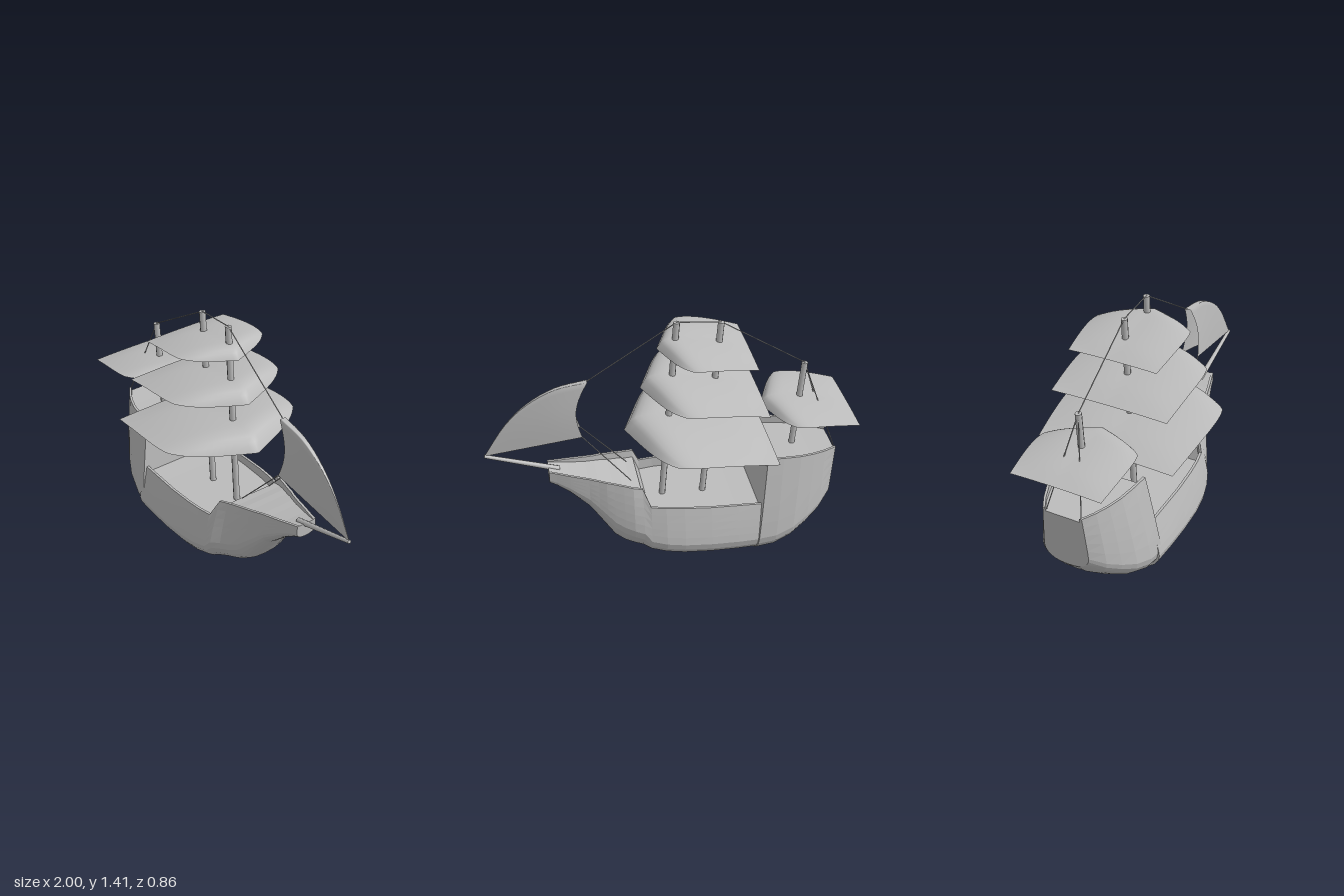
import * as THREE from 'three';

const ZC = -0.018; // the masts stand slightly off the centre line
const lerp = THREE.MathUtils.lerp;
const V = (x, y, z) => new THREE.Vector3(x, y, z);

// Closed hull cross-section: outer skin from rail to rail, then rails and deck.
function hullRing([xb, xt, yb, yt, wm, wr, yd, dz], fm) {
  const half = [];
  const h = yt - yb;
  for (let i = 1; i <= 6; i++) {
    const a = (i / 6) * Math.PI / 2;
    half.push([wm * Math.sin(a) ** 0.8, yb + fm * h * (1 - Math.cos(a))]);
  }
  for (let i = 1; i <= 5; i++) {
    const u = i / 5;
    half.push([wm + (wr - wm) * u ** 1.15, yb + h * lerp(fm, 1, u)]);
  }
  const t = 0.014;
  const loop = [
    ...half.slice().reverse().map(([w, y]) => [-w, y]), [0, yb], ...half,
    [wr - t, yt], [wr - t, yd], [t - wr, yd], [t - wr, yt],
  ];
  return loop.map(([z, y]) => V(lerp(xb, xt, (y - yb) / h), y, z + dz));
}

// Skin a row of cross-sections with flat facets and close both ends.
function loft(stations, fm) {
  const rings = stations.map((s) => hullRing(s, fm));
  const n = rings[0].length;
  const pos = [];
  const tri = (...p) => p.forEach((v) => pos.push(v.x, v.y, v.z));
  for (let i = 0; i < rings.length - 1; i++) {
    for (let j = 0; j < n; j++) {
      const k = (j + 1) % n;
      const a = rings[i][j], b = rings[i + 1][j], c = rings[i + 1][k], d = rings[i][k];
      tri(a, b, c);
      tri(a, c, d);
    }
  }
  const cap = (ring, flip) => {
    const flat = ring.map((p) => new THREE.Vector2(p.z, p.y));
    for (const [a, b, c] of THREE.ShapeUtils.triangulateShape(flat, [])) {
      if (flip) tri(ring[a], ring[c], ring[b]);
      else tri(ring[a], ring[b], ring[c]);
    }
  };
  cap(rings[0], false);
  cap(rings[rings.length - 1], true);
  const g = new THREE.BufferGeometry();
  g.setAttribute('position', new THREE.Float32BufferAttribute(pos, 3));
  g.computeVertexNormals();
  return g;
}

// Bend a plane grid by a rule; u and v run from 0 to 1.
function sheet(nu, nv, rule) {
  const g = new THREE.PlaneGeometry(1, 1, nu, nv);
  const p = g.attributes.position;
  for (let i = 0; i < p.count; i++) {
    const q = rule(p.getX(i) + 0.5, p.getY(i) + 0.5);
    p.setXYZ(i, q.x, q.y, q.z);
  }
  g.computeVertexNormals();
  return g;
}

// Billowed sail: straight rear edge, arched crest, pointed drooping front lip.
function sailGeometry(xBack, xFront, y0, rise, wBack, wMax) {
  const L = xFront - xBack;
  const crest = new THREE.SplineCurve([
    [0, 0.06], [0.2, 0.43], [0.45, 0.73], [0.7, 0.95], [0.85, 1], [0.95, 0.82], [1, 0.4],
  ].map(([x, y]) => new THREE.Vector2(x, y)));
  const line = crest.getPoints(120);
  const crestY = (u) => {
    const i = Math.max(1, line.findIndex((q) => q.x >= u - 1e-6));
    const a = line[i - 1], b = line[i];
    return lerp(a.y, b.y, THREE.MathUtils.clamp((u - a.x) / (b.x - a.x), 0, 1));
  };
  return sheet(24, 24, (u, t) => {
    const v = t * 2 - 1, a = Math.abs(v);
    const front = xFront - L * (0.23 * a + 0.07 * a ** 6);
    const w = lerp(wBack, wMax, Math.sin(u * Math.PI / 2)) * (1 - 0.05 * u ** 8);
    const edge = 0.55 * Math.sin(u * Math.PI / 2);
    const y = y0 + rise * lerp(crestY(u), edge, a ** 2.2) + 0.016 * v * u;
    return V(lerp(xBack, front, u), y, -0.009 + v * w);
  });
}

// Straight spar or rope between two points.
function rod(a, b, r0, r1, sides) {
  const d = b.clone().sub(a);
  const g = new THREE.CylinderGeometry(r1, r0, d.length(), sides);
  g.applyQuaternion(new THREE.Quaternion().setFromUnitVectors(V(0, 1, 0), d.normalize()));
  g.translate((a.x + b.x) / 2, (a.y + b.y) / 2, (a.z + b.z) / 2);
  return g;
}

export function createModel() {
  const model = new THREE.Group();
  const grey = new THREE.MeshStandardMaterial({ color: 0xbcbcbc, side: THREE.DoubleSide });
  grey.name = 'plain grey';
  const add = (name, geometry) => {
    const m = new THREE.Mesh(geometry, grey);
    m.name = name;
    model.add(m);
  };

  // Main hull: x, keel y, rail y, widest half, rail half, deck y
  add('hull', loft([
    [-0.5, 0.005, 0.355, 0.298, 0.25, 0.32],
    [-0.35, 0.005, 0.365, 0.305, 0.255, 0.32],
    [-0.2, 0.01, 0.375, 0.308, 0.26, 0.325],
    [-0.05, 0.02, 0.388, 0.305, 0.258, 0.33],
    [0.05, 0.035, 0.395, 0.295, 0.25, 0.333],
    [0.13, 0.055, 0.4, 0.275, 0.235, 0.335],
    [0.17, 0.07, 0.5, 0.26, 0.195, 0.455],
    [0.22, 0.085, 0.51, 0.237, 0.185, 0.465],
    [0.27, 0.1, 0.52, 0.213, 0.17, 0.48],
    [0.32, 0.135, 0.528, 0.188, 0.155, 0.49],
    [0.36, 0.195, 0.535, 0.166, 0.145, 0.5],
    [0.4, 0.255, 0.541, 0.145, 0.13, 0.51],
    [0.45, 0.33, 0.55, 0.122, 0.115, 0.52],
    [0.55, 0.43, 0.566, 0.092, 0.09, 0.545],
    [0.62, 0.48, 0.578, 0.07, 0.07, 0.568],
    [0.66, 0.5, 0.585, 0.06, 0.06, 0.582],
  ].map(([x, ...rest]) => [x, x, ...rest, x > 0.2 ? -0.007 : 0]), 0.4));

  // Raised stern castle: x at keel, x at rail, then as above, sideways offset
  add('sternCastle', loft([
    [-0.89, -0.92, 0.26, 0.61, 0.13, 0.112, 0.588, -0.027],
    [-0.82, -0.85, 0.18, 0.616, 0.19, 0.152, 0.588, -0.024],
    [-0.74, -0.78, 0.115, 0.622, 0.233, 0.182, 0.588, -0.021],
    [-0.65, -0.7, 0.055, 0.63, 0.272, 0.207, 0.59, -0.018],
    [-0.55, -0.6, 0.012, 0.638, 0.296, 0.222, 0.59, -0.014],
    [-0.45, -0.51, 0, 0.645, 0.304, 0.23, 0.59, -0.01],
  ], 0.25));

  // Masts and bowsprit
  const foreTop = V(-0.045, 1.41, ZC), mainTop = V(-0.28, 1.39, ZC), aftTop = V(-0.745, 1.1, ZC);
  add('foreMast', rod(V(0.035, 0.32, ZC), foreTop, 0.018, 0.018, 8));
  add('mainMast', rod(V(-0.195, 0.31, ZC), mainTop, 0.018, 0.018, 8));
  add('aftMast', rod(V(-0.7, 0.57, ZC), aftTop, 0.018, 0.018, 8));
  const tip = V(0.995, 0.69, -0.003);
  add('bowsprit', rod(V(0.6, 0.56, -0.003), tip, 0.016, 0.01, 8));

  // Billowed sails
  add('lowerSail', sailGeometry(-0.53, 0.24, 0.72, 0.14, 0.393, 0.438));
  add('middleSail', sailGeometry(-0.48, 0.15, 0.987, 0.117, 0.333, 0.357));
  add('topSail', sailGeometry(-0.43, 0.06, 1.224, 0.091, 0.25, 0.278));
  add('aftSail', sailGeometry(-1, -0.51, 0.824, 0.086, 0.255, 0.28));

  // Jib: a narrow hollow sail, bowed on top, open behind and below
  const jibZ = -0.013;
  const peak = V(0.43, 1.105, jibZ), clew = V(0.47, 0.79, jibZ);
  const luff = new THREE.CatmullRomCurve3([
    peak, V(0.6, 1.075, jibZ), V(0.75, 0.995, -0.01), V(0.87, 0.88, -0.007), tip,
  ]);
  const fold = 1 / 6, topHalf = 0.018, footHalf = 0.05;
  add('jib', sheet(16, 24, (u, t) => {
    const v = t * 2 - 1, a = Math.abs(v);
    const drop = Math.max(0, (a - fold) / (1 - fold));
    const p = luff.getPoint(u).lerp(clew.clone().lerp(tip, u), drop);
    const half = a < fold ? topHalf * a / fold : lerp(topHalf, footHalf, drop);
    p.x += 0.045 * Math.sin(drop * Math.PI) * (1 - u);
    p.z += Math.sign(v) * half * (1 - u);
    return p;
  }));

  // Rigging
  const ropes = [[aftTop, mainTop], [mainTop, foreTop], [foreTop, peak]];
  for (const s of [-1, 1]) {
    ropes.push([aftTop, V(-0.915, 0.6, s * 0.1 - 0.02)]);
    ropes.push([V(clew.x, clew.y, jibZ + s * footHalf), V(0.22, 0.5, s * 0.09 - 0.01)]);
  }
  ropes.forEach(([a, b]) => add('rope', rod(a, b, 0.003, 0.003, 5)));

  return model;
}
